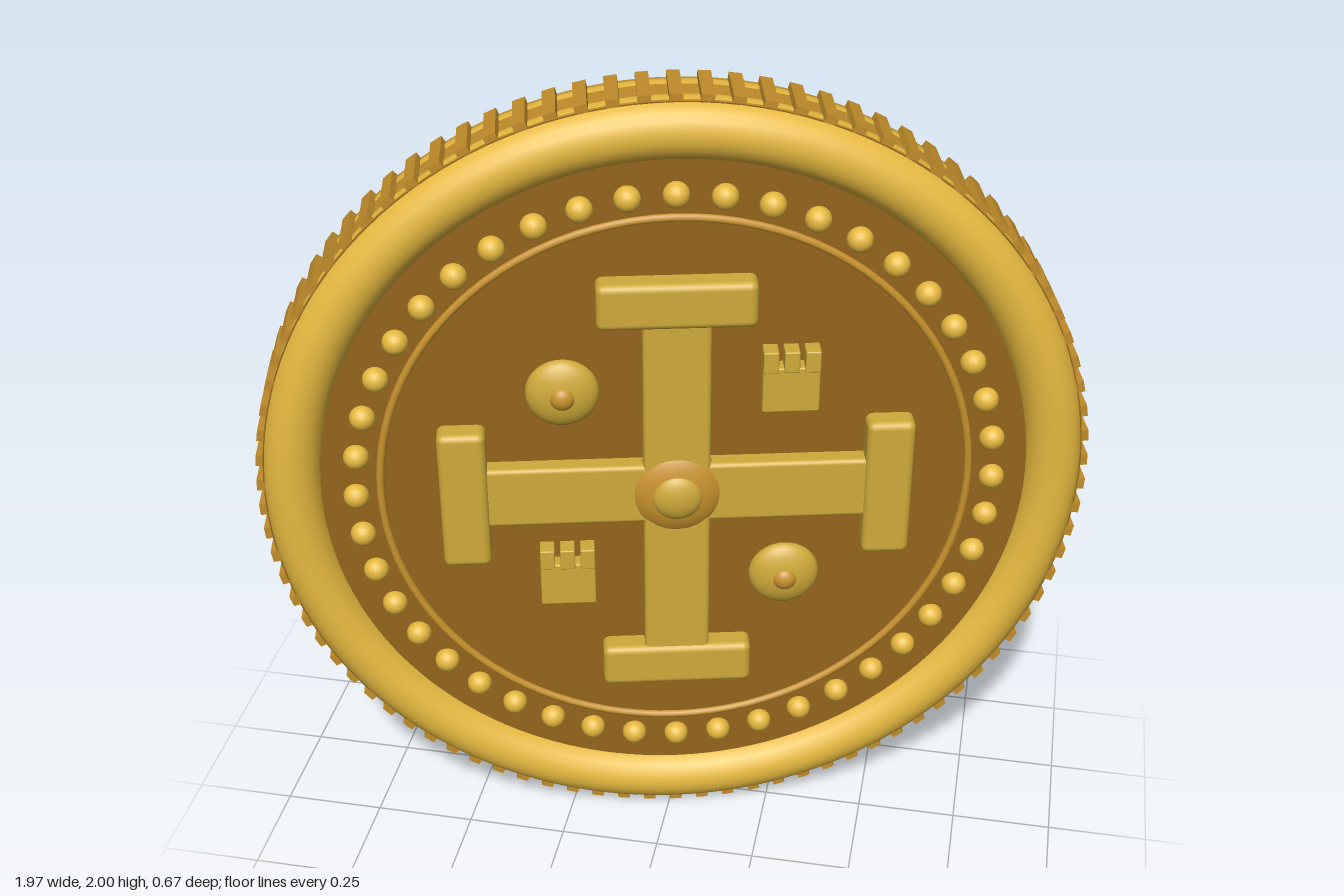
import * as THREE from 'three';
import { RoundedBoxGeometry } from 'three/addons/geometries/RoundedBoxGeometry.js';

const paint = (color) => new THREE.MeshStandardMaterial({ color });
const GOLD = paint(0xe6b93f);
const RELIEF = paint(0xcfaa3a);
const EDGE = paint(0xc08c2a);
const FIELD = paint(0x96651c);
const ORANGE = paint(0xc8922e);

const FACE = 0.07; // half thickness of the disc
const OUTER = 0.267; // offset of the four small emblems

function add(parent, name, geometry, material, x = 0, y = 0, z = 0) {
  const mesh = new THREE.Mesh(geometry, material);
  mesh.name = name;
  mesh.position.set(x, y, z);
  parent.add(mesh);
  return mesh;
}

// Block that rises from just below the face to the given height
function block(parent, name, w, h, top, x, y, bevel = 0.012) {
  const bottom = FACE - 0.03;
  const geometry = new RoundedBoxGeometry(w, h, top - bottom, 3, bevel);
  return add(parent, name, geometry, RELIEF, x, y, (top + bottom) / 2);
}

// Flattened ball sitting on the face
function dome(parent, name, radius, height, material, x, y, z) {
  const mesh = add(parent, name, new THREE.SphereGeometry(radius, 32, 20), material, x, y, z);
  mesh.scale.z = height / radius;
  return mesh;
}

function createCross() {
  const cross = new THREE.Group();
  cross.name = 'cross';
  block(cross, 'verticalArm', 0.16, 0.96, 0.117, 0, 0);
  block(cross, 'horizontalArm', 0.96, 0.16, 0.114, 0, 0);
  for (const s of [-1, 1]) {
    block(cross, 'verticalArmBar', 0.37, 0.115, 0.127, 0, s * 0.508, 0.018);
    block(cross, 'horizontalArmBar', 0.115, 0.37, 0.127, s * 0.508, 0, 0.018);
  }
  dome(cross, 'centreBoss', 0.117, 0.05, ORANGE, 0, 0, 0.09);
  dome(cross, 'bossCap', 0.062, 0.032, RELIEF, 0, 0, 0.122);
  return cross;
}

function createTower(x, y) {
  const tower = new THREE.Group();
  tower.name = 'tower';
  block(tower, 'towerWall', 0.135, 0.118, 0.108, x, y + 0.008, 0.005);
  for (const i of [-1, 0, 1]) block(tower, 'battlement', 0.036, 0.055, 0.115, x + i * 0.049, y + 0.085, 0.004);
  return tower;
}

function createRoundel(x, y) {
  const roundel = new THREE.Group();
  roundel.name = 'roundel';
  dome(roundel, 'roundelDome', 0.087, 0.04, RELIEF, x, y, FACE);
  dome(roundel, 'roundelStud', 0.03, 0.024, ORANGE, x, y, 0.099);
  return roundel;
}

// Everything on one face
function createFace(name) {
  const face = new THREE.Group();
  face.name = name;
  add(face, 'raisedRim', new THREE.TorusGeometry(0.915, 0.071, 24, 128), GOLD, 0, 0, 0.045);
  add(face, 'innerRing', new THREE.TorusGeometry(0.708, 0.01, 8, 96), ORANGE, 0, 0, FACE);

  const beads = new THREE.Group();
  beads.name = 'beadRing';
  const bead = new THREE.SphereGeometry(0.031, 16, 12);
  const count = 44;
  for (let i = 0; i < count; i++) {
    const a = (i / count) * Math.PI * 2;
    add(beads, 'bead', bead, GOLD, 0.766 * Math.cos(a), 0.766 * Math.sin(a), FACE + 0.005);
  }
  face.add(beads, createCross());

  for (const s of [-1, 1]) {
    face.add(createTower(s * OUTER, s * OUTER));
    face.add(createRoundel(s * OUTER, -s * OUTER));
  }
  return face;
}

export function createModel() {
  const model = new THREE.Group();
  model.name = 'coin';
  const coin = new THREE.Group();
  coin.name = 'tiltedCoin';
  coin.position.y = 1;
  coin.rotation.y = 0.243;
  model.add(coin);

  // Disc: brown fields top and bottom, gold edge
  const disc = new THREE.CylinderGeometry(0.984, 0.984, FACE * 2, 128);
  disc.rotateX(Math.PI / 2);
  add(coin, 'disc', disc, [EDGE, FIELD, FIELD]);

  // Reeded edge
  const reeds = new THREE.Group();
  reeds.name = 'reededEdge';
  const reed = new THREE.BoxGeometry(0.03, 0.028, 0.14);
  const count = 90;
  for (let i = 0; i < count; i++) {
    const a = (i / count) * Math.PI * 2;
    add(reeds, 'reed', reed, EDGE, -0.986 * Math.sin(a), 0.986 * Math.cos(a), 0).rotation.z = a;
  }
  coin.add(reeds);

  // The back repeats the front, mirrored through the disc
  const back = createFace('backFace');
  back.scale.z = -1;
  coin.add(createFace('frontFace'), back);
  return model;
}
